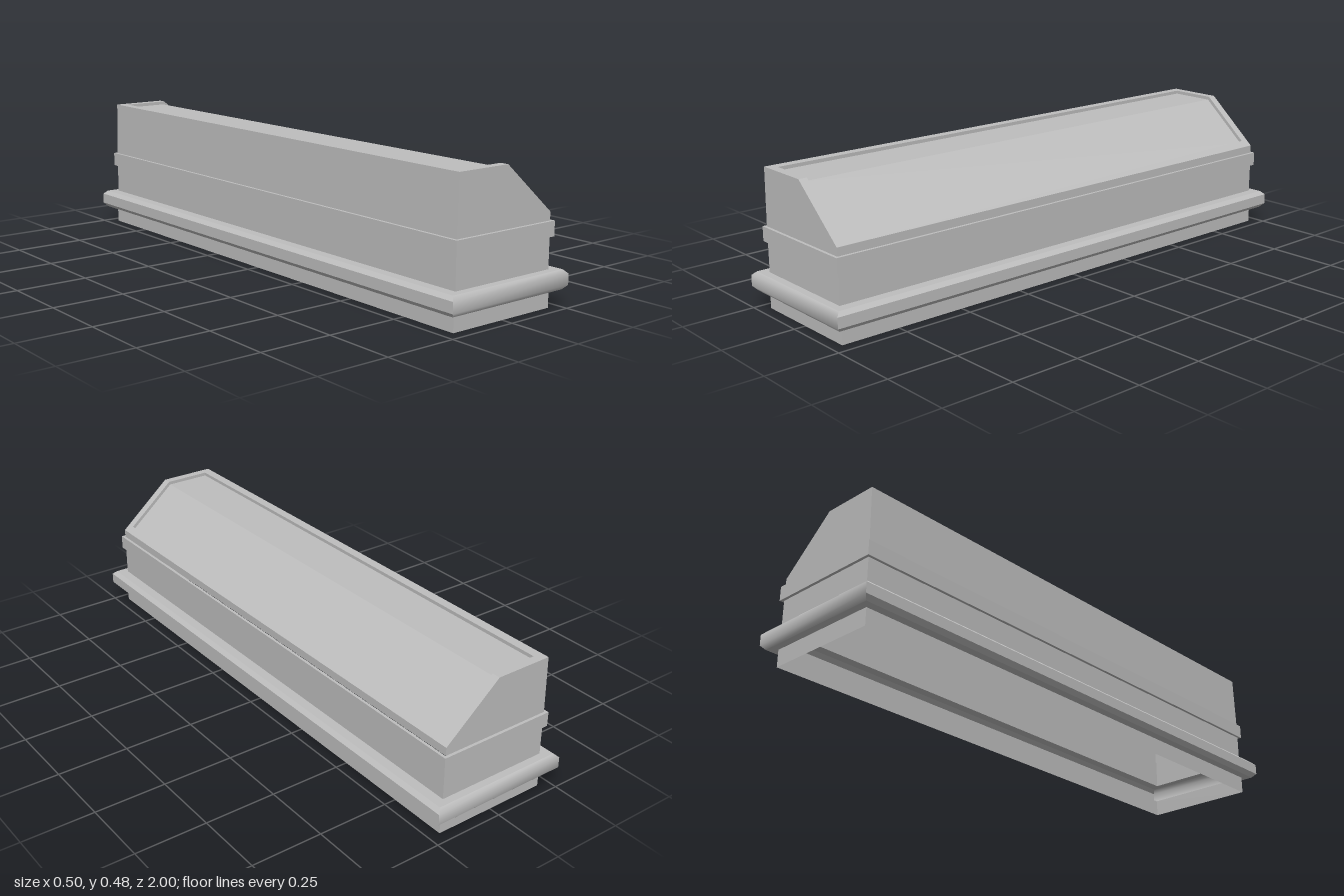
import * as THREE from 'three';
import { mergeVertices } from 'three/addons/utils/BufferGeometryUtils.js';

const grey = new THREE.MeshStandardMaterial({ color: 0xbebebe, side: THREE.DoubleSide });
grey.name = 'stone grey';

// Mesh from planar polygons (corners counter-clockwise seen from outside)
function facesMesh(name, faces, smooth = false) {
  const pos = [];
  for (const f of faces)
    for (let i = 1; i < f.length - 1; i++) pos.push(...f[0], ...f[i], ...f[i + 1]);
  let geo = new THREE.BufferGeometry();
  geo.setAttribute('position', new THREE.Float32BufferAttribute(pos, 3));
  if (smooth) geo = mergeVertices(geo);
  geo.computeVertexNormals();
  const mesh = new THREE.Mesh(geo, grey);
  mesh.name = name;
  return mesh;
}

// Rectangular ring of corners from half width, half length and height
const ring = ([w, l, y]) => [[-w, y, l], [w, y, l], [w, y, -l], [-w, y, -l]];

// Quads joining successive rings; sides 0 and 2 are the ends, 1 and 3 the long sides
function strips(profile, sides = [0, 1, 2, 3]) {
  const rings = profile.map(ring), faces = [];
  for (let r = 0; r < rings.length - 1; r++)
    for (const i of sides) {
      const j = (i + 1) % 4, a = rings[r], b = rings[r + 1];
      faces.push([a[i], a[j], b[j], b[i]]);
    }
  return faces;
}

export function createModel() {
  const group = new THREE.Group();
  group.name = 'slantedChest';

  // Open-bottomed base
  group.add(facesMesh('plinth', strips([[0.208, 0.96, 0], [0.208, 0.96, 0.06]])));

  // Projecting chamfered moulding with softly shaded ends
  const bulge = [[0.238, 0.986, 0.06], [0.252, 1, 0.075], [0.252, 1, 0.112], [0.238, 0.986, 0.125]];
  group.add(facesMesh('mouldingUnderside', strips([[0.208, 0.96, 0.06], bulge[0]])));
  group.add(facesMesh('mouldingSides', strips(bulge, [1, 3])));
  group.add(facesMesh('mouldingEnds', strips(bulge, [0, 2]), true));
  group.add(facesMesh('mouldingTop', strips([bulge[3], [0.203, 0.96, 0.125]])));

  // Waist and thin raised band
  group.add(facesMesh('waist', strips([[0.203, 0.96, 0.125], [0.203, 0.96, 0.23]])));
  group.add(facesMesh('band', strips([
    [0.203, 0.96, 0.23], [0.213, 0.97, 0.23], [0.213, 0.97, 0.28], [0.203, 0.96, 0.28],
  ])));

  // Upper body: pentagonal ends and two long walls
  const L = 0.96;
  const at = ([x, y], z) => [x, y, z];
  const section = [[-0.203, 0.28], [0.202, 0.28], [0.202, 0.308], [0.005, 0.477], [-0.198, 0.477]];
  const wall = (p, q) => [at(p, L), at(p, -L), at(q, -L), at(q, L)];
  group.add(facesMesh('upperBody', [
    section.map((p) => at(p, L)),
    section.map((p) => at(p, -L)).reverse(),
    wall(section[1], section[2]),
    wall(section[4], section[0]),
  ]));

  // Roof rim, recess walls and sunken panel, each a closed loop over the bent roof
  const loop = (path, z) => [
    ...path.map((p) => at(p, z)),
    ...path.map((p) => at(p, -z)).reverse(),
  ];
  const between = (outer, inner) => outer.map((p, i) => {
    const j = (i + 1) % outer.length;
    return [p, outer[j], inner[j], inner[i]];
  });
  const outer = loop([[-0.198, 0.477], [0.005, 0.477], [0.202, 0.308]], L);
  const lip = loop([[-0.165, 0.477], [0.005, 0.477], [0.18, 0.327]], 0.93);
  const sunk = loop([[-0.165, 0.465], [0, 0.465], [0.172, 0.318]], 0.93);
  group.add(facesMesh('roofRim', between(outer, lip)));
  group.add(facesMesh('recessWalls', between(lip, sunk)));
  group.add(facesMesh('roofPanel', [
    [sunk[0], sunk[1], sunk[4], sunk[5]],
    [sunk[1], sunk[2], sunk[3], sunk[4]],
  ]));
  return group;
}
